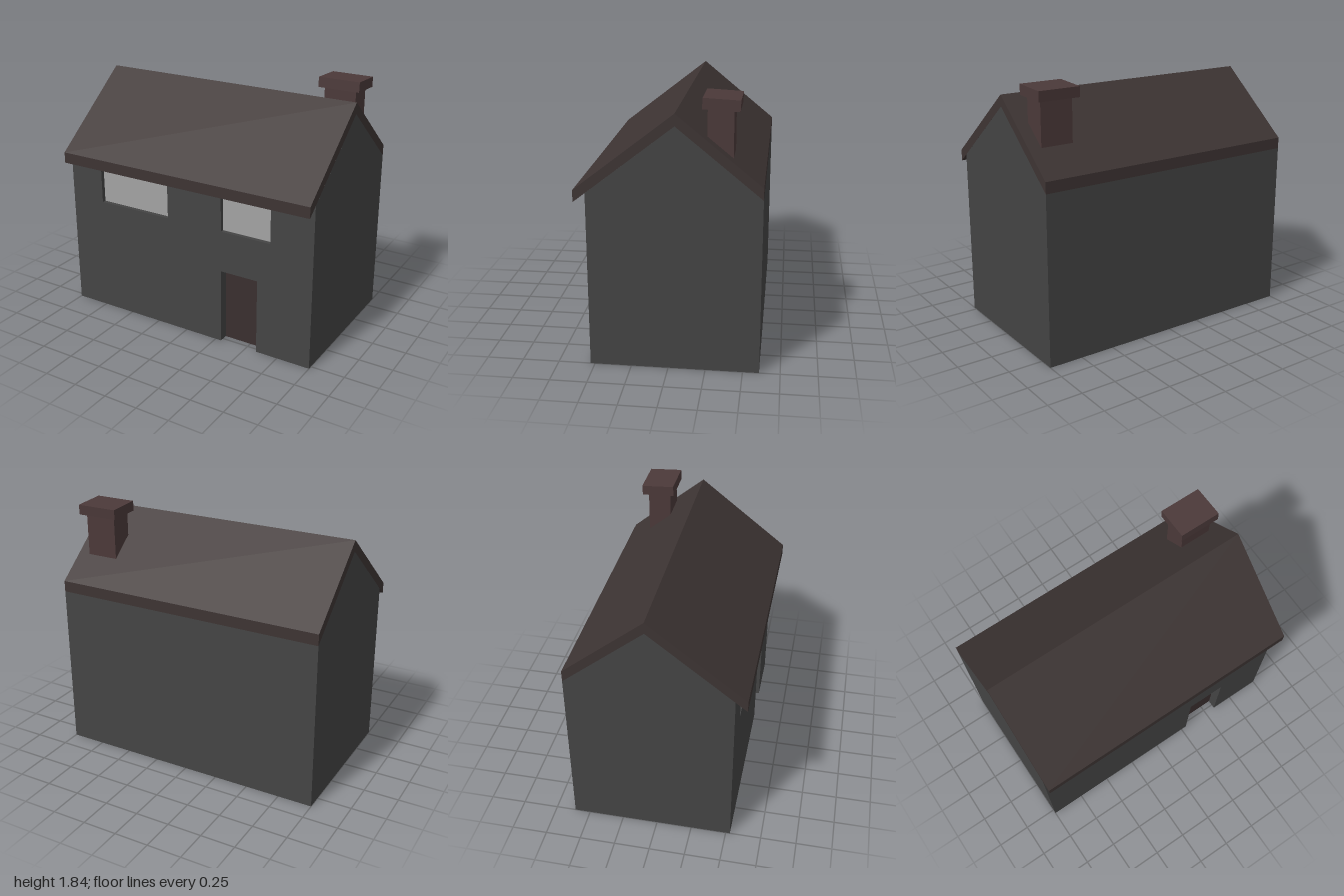
import * as THREE from 'three';

const mat = (color) => new THREE.MeshStandardMaterial({ color, flatShading: true });

export function createModel() {
  const house = new THREE.Group();
  house.name = 'house';
  const wallMat = mat(0x444444), roofMat = mat(0x3d3433);
  const brickMat = mat(0x4b3939), doorMat = mat(0x3a2f2f), glassMat = mat(0xa3a3a3);

  const add = (name, geometry, material, parent = house) => {
    const mesh = new THREE.Mesh(geometry, material);
    mesh.name = name;
    parent.add(mesh);
    return mesh;
  };

  // Box given by its limits on each axis
  const box = (name, [x0, x1], [y0, y1], [z0, z1], material, parent) => {
    const mesh = add(name, new THREE.BoxGeometry(x1 - x0, y1 - y0, z1 - z0), material, parent);
    mesh.position.set((x0 + x1) / 2, (y0 + y1) / 2, (z0 + z1) / 2);
    return mesh;
  };

  // Side profile of [z, y] points, swept along the full width
  const sweep = (points) => {
    const shape = new THREE.Shape(points.map(([z, y]) => new THREE.Vector2(-z, y)));
    return new THREE.ExtrudeGeometry(shape, { depth: 2, bevelEnabled: false })
      .rotateY(Math.PI / 2).translate(-1, 0, 0);
  };

  const front = 0.53, back = -0.61, inner = 0.455, wallTop = 1.2;

  // Main body with gables, stepped back behind the front wall
  add('body', sweep([
    [inner, 0], [inner, wallTop], [front, wallTop], [front, 1.212],
    [-0.05, 1.665], [back, 1.205], [back, 0],
  ]), wallMat);

  // Front wall with the doorway cut from its foot and two window openings
  const doorX = [0.295, 0.585], doorTop = 0.56;
  const windows = [['leftWindow', [0.295, 0.68]], ['rightWindow', [-0.73, -0.145]]];
  const windowY = [0.865, 1.18];
  const wall = new THREE.Shape([
    [-1, 0], [doorX[0], 0], [doorX[0], doorTop], [doorX[1], doorTop],
    [doorX[1], 0], [1, 0], [1, wallTop], [-1, wallTop],
  ].map(([x, y]) => new THREE.Vector2(x, y)));
  for (const [, [x0, x1]] of windows) {
    wall.holes.push(new THREE.Path([
      new THREE.Vector2(x0, windowY[0]), new THREE.Vector2(x0, windowY[1]),
      new THREE.Vector2(x1, windowY[1]), new THREE.Vector2(x1, windowY[0]),
    ]));
  }
  add('frontWall', new THREE.ExtrudeGeometry(wall, { depth: front - inner, bevelEnabled: false })
    .translate(0, 0, inner), wallMat);

  // Recessed door and window panes
  box('door', doorX, [0, doorTop], [inner - 0.01, inner + 0.005], doorMat);
  for (const [name, x] of windows) box(name, x, windowY, [inner - 0.01, 0.5], glassMat);

  // Pitched roof, overhanging at the front only
  add('roof', sweep([
    [0.61, 1.15], [0.61, 1.23], [-0.05, 1.745],
    [back, 1.285], [back, 1.205], [-0.05, 1.665],
  ]), roofMat);

  // Chimney with a slightly tilted cap
  const chimney = new THREE.Group();
  chimney.name = 'chimney';
  house.add(chimney);
  box('chimneyStack', [0.675, 0.91], [1.42, 1.77], [-0.412, -0.246], brickMat, chimney);
  const cap = box('chimneyCap', [0.64, 0.945], [1.758, 1.83], [-0.453, -0.215], brickMat, chimney);
  cap.rotation.x = -0.05;

  return house;
}
